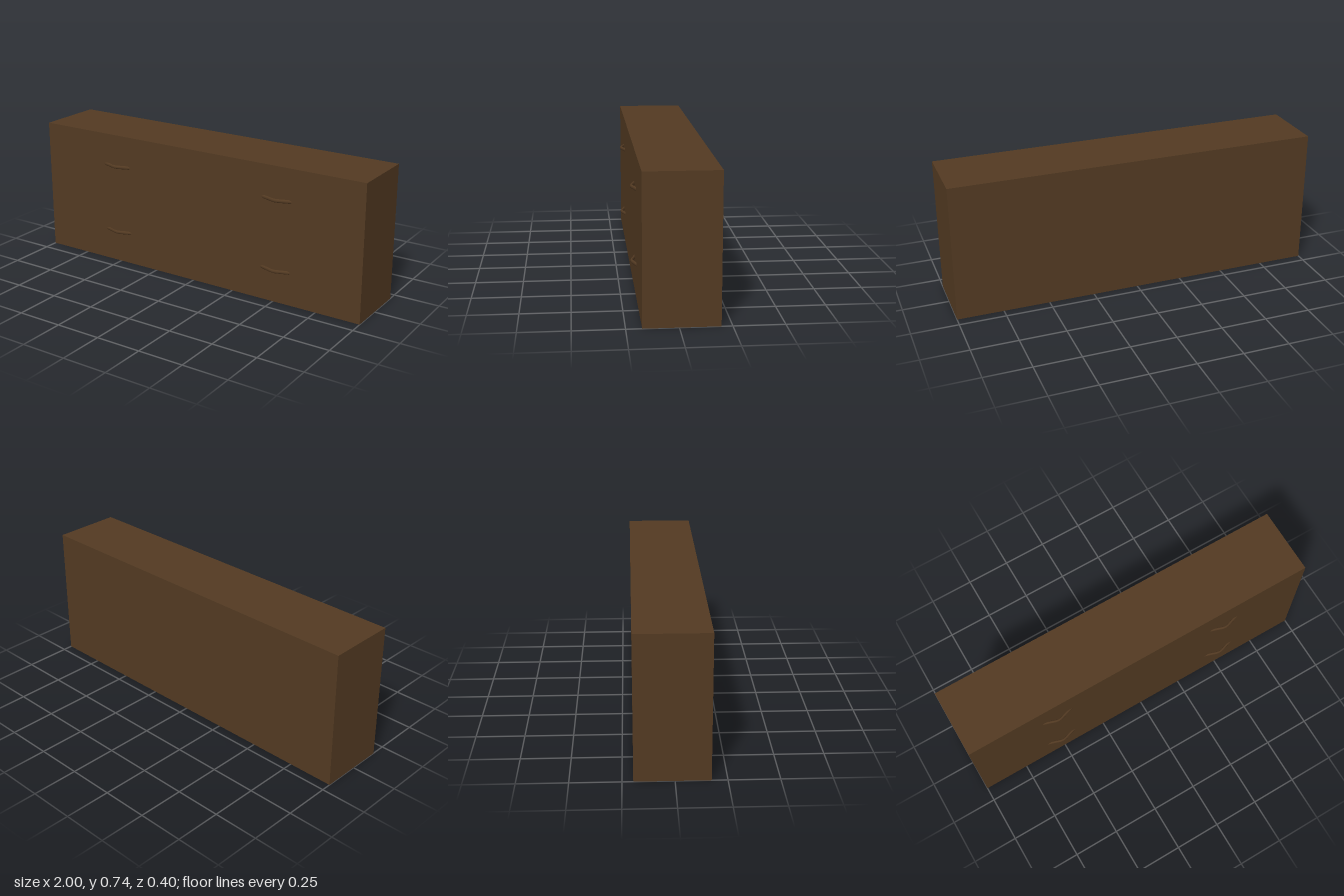
import * as THREE from 'three';

export function createModel() {
  const model = new THREE.Group();
  const wood = new THREE.MeshStandardMaterial({ color: 0x533a22 });
  wood.name = 'dark brown wood';

  // Cabinet body
  const height = 0.742, front = 0.173, back = -0.197;
  const body = new THREE.Mesh(new THREE.BoxGeometry(2, height, front - back), wood);
  body.name = 'cabinetBody';
  body.position.set(0, height / 2, (front + back) / 2);
  model.add(body);

  // Bowed pull handle: flattened tube whose ends sink into the front
  const flatten = 0.65;
  const path = new THREE.CatmullRomCurve3(
    [[-0.09, -0.007], [-0.045, 0.007], [0, 0.0195], [0.045, 0.007], [0.09, -0.007]]
      .map(([x, z]) => new THREE.Vector3(x, 0, z / flatten)));
  const handleGeometry = new THREE.TubeGeometry(path, 12, 0.0098, 10).scale(1, 1, flatten);

  // Two handles on each of the two drawer rows
  for (const [row, y] of [['lower', 0.18], ['upper', 0.566]]) {
    for (const [side, x] of [['Right', -0.51], ['Left', 0.51]]) {
      const handle = new THREE.Mesh(handleGeometry, wood);
      handle.name = `${row}${side}Handle`;
      handle.position.set(x, y, front);
      model.add(handle);
    }
  }
  return model;
}
